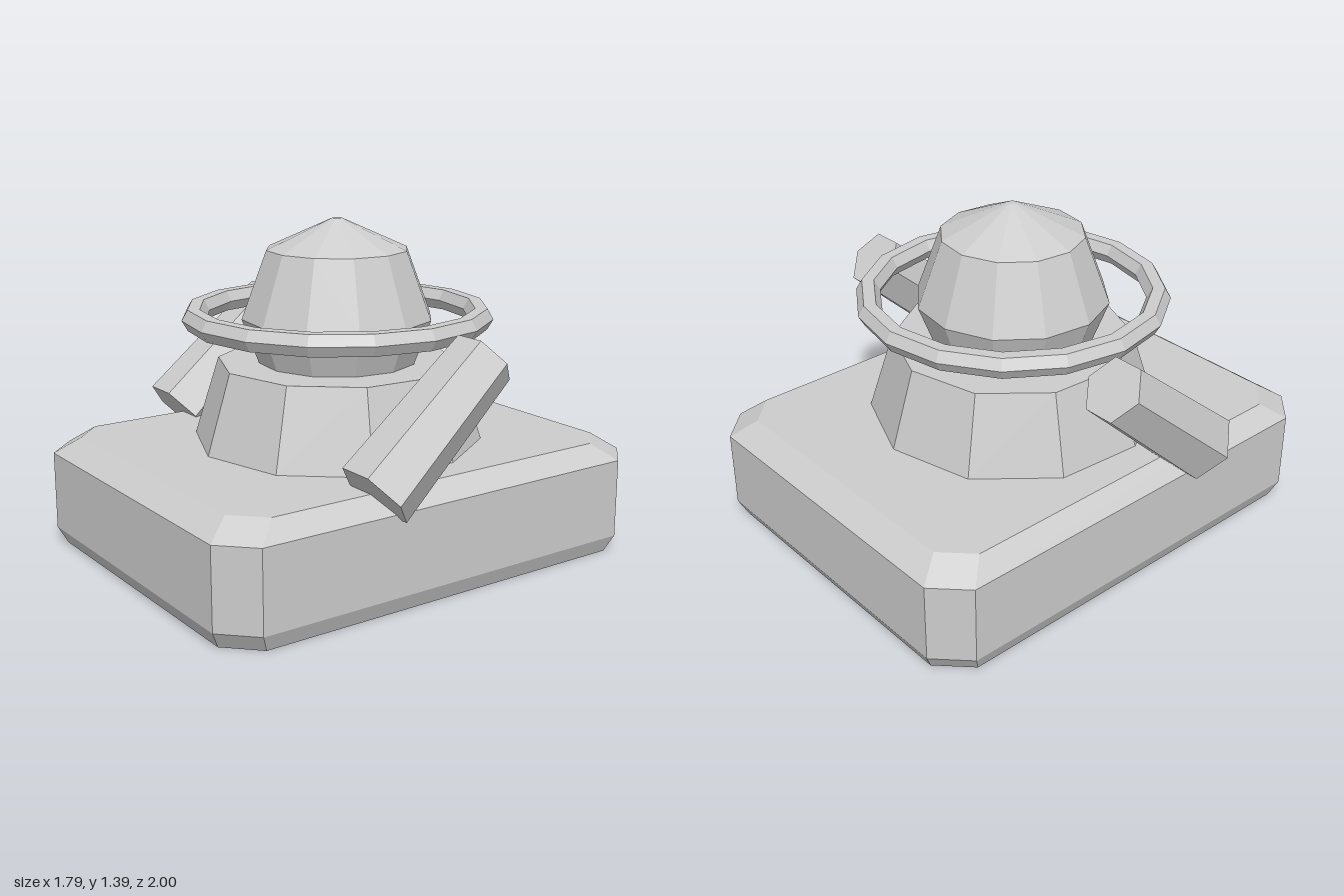
import * as THREE from 'three';

// Stacks rectangles with cut corners: each level is [y, halfX, halfZ, cornerCut]
function chamferedSlab(levels) {
  const pos = [];
  const loops = levels.map(([y, x, z, c]) => [
    [x, y, z - c], [x, y, -z + c], [x - c, y, -z], [-x + c, y, -z],
    [-x, y, -z + c], [-x, y, z - c], [-x + c, y, z], [x - c, y, z],
  ]);
  const tri = (a, b, c) => pos.push(...a, ...b, ...c);
  for (let k = 0; k < loops.length - 1; k++) {
    const lo = loops[k], hi = loops[k + 1];
    for (let i = 0; i < 8; i++) {
      const j = (i + 1) % 8;
      tri(lo[i], lo[j], hi[j]);
      tri(lo[i], hi[j], hi[i]);
    }
  }
  const bottom = loops[0], top = loops[loops.length - 1];
  for (let i = 1; i < 7; i++) {
    tri(top[0], top[i], top[i + 1]);
    tri(bottom[0], bottom[i + 1], bottom[i]);
  }
  const geo = new THREE.BufferGeometry();
  geo.setAttribute('position', new THREE.Float32BufferAttribute(pos, 3));
  geo.computeVertexNormals();
  return geo;
}

export function createModel() {
  const model = new THREE.Group();
  model.name = 'hoverRobot';
  const grey = new THREE.MeshStandardMaterial({ color: 0xcccccc, flatShading: true });
  grey.name = 'grey';
  const add = (name, geo, x = 0, y = 0, z = 0) => {
    const mesh = new THREE.Mesh(geo, grey);
    mesh.name = name;
    mesh.position.set(x, y, z);
    model.add(mesh);
    return mesh;
  };

  // Wide base with bevelled edges
  add('base', chamferedSlab([
    [0, 0.76, 0.965, 0.125],
    [0.07, 0.79, 1, 0.13],
    [0.4, 0.79, 1, 0.13],
    [0.47, 0.71, 0.9, 0.118],
  ]));

  // Tapered ten-sided body
  const body = add('body', new THREE.CylinderGeometry(0.502, 0.605, 0.33, 10), 0, 0.635, 0);
  body.rotation.y = THREE.MathUtils.degToRad(-4);

  // Faceted head with a shallow pointed cap
  const profile = [[0, 0.705], [0.295, 0.705], [0.4, 0.985], [0.295, 1.265], [0.02, 1.39], [0, 1.39]];
  const head = add('head', new THREE.LatheGeometry(profile.map(([r, y]) => new THREE.Vector2(r, y)), 12));
  head.rotation.y = THREE.MathUtils.degToRad(7.5);

  // Ring floating around the head
  const ring = add('ring', new THREE.TorusGeometry(0.595, 0.05, 6, 16), 0, 0.99, 0);
  ring.rotation.x = Math.PI / 2;

  // Hexagonal arms sloping forward and down
  for (const [name, side] of [['leftArm', 1], ['rightArm', -1]]) {
    const arm = add(name, new THREE.CylinderGeometry(0.13, 0.156, 0.682, 6, 1, false, Math.PI / 2),
      side * 0.741, 0.7, 0.099);
    arm.rotation.x = Math.atan2(-0.513, 0.45);
  }
  return model;
}
